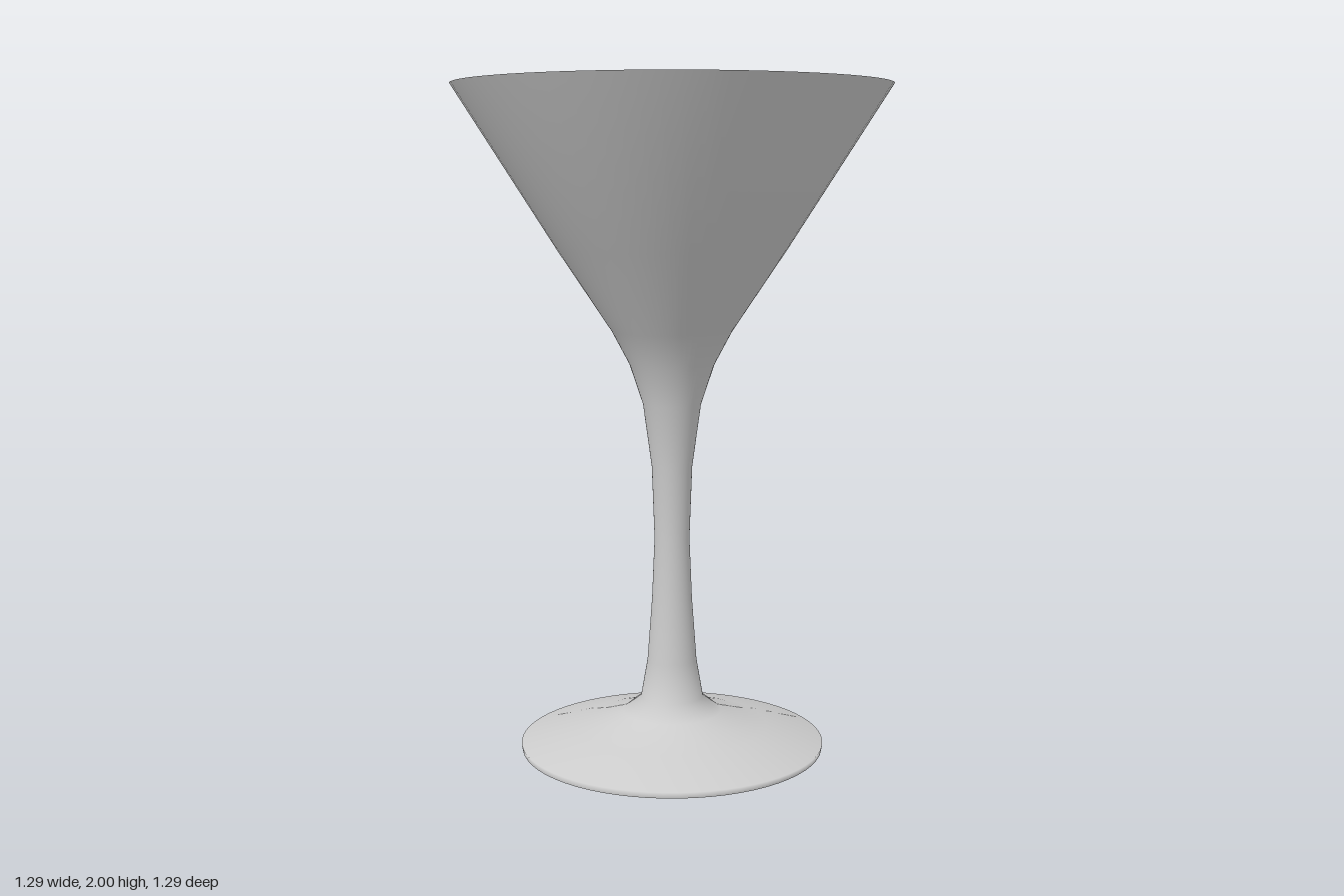
import * as THREE from 'three';

const SEGMENTS = 64;

// Profile [radius, height]: up the outside, over the rim, down the inside
const PROFILE = [
  [0.46, 0], [0.463, 0.018], [0.29, 0.065], [0.15, 0.11], [0.095, 0.155], // foot
  [0.075, 0.27], [0.061, 0.46], [0.053, 0.65], [0.061, 0.87], [0.087, 1.06], [0.127, 1.18], // stem
  [0.18, 1.28], [0.34, 1.52], [0.645, 2], // outer bowl
  [0.612, 2], [0.58, 1.95], [0.31, 1.53], [0.14, 1.28], [0.085, 1.23], [0, 1.22], // inner bowl
];

export function createModel() {
  const group = new THREE.Group();
  const material = new THREE.MeshStandardMaterial({ color: 0xcccccc });
  const whole = new THREE.LatheGeometry(PROFILE.map(([r, y]) => new THREE.Vector2(r, y)), SEGMENTS);
  const bands = PROFILE.length - 1;

  const add = (name, geometry) => {
    const mesh = new THREE.Mesh(geometry, material);
    mesh.name = name;
    group.add(mesh);
    return mesh;
  };

  // Each part takes its bands of the profile, so shading flows across the seams
  const addBands = (name, from, to) => {
    const part = whole.clone();
    const index = Array.from(whole.index.array).filter((_, i) => {
      const band = Math.floor(i / 6) % bands;
      return band >= from && band < to;
    });
    part.setIndex(index);
    add(name, part);
  };
  addBands('foot', 0, 4);
  addBands('stem', 4, 10);
  addBands('bowl', 10, bands);

  // Flat underside of the foot
  const underside = add('footUnderside', new THREE.CircleGeometry(PROFILE[0][0], SEGMENTS));
  underside.rotation.x = Math.PI / 2;

  return group;
}
